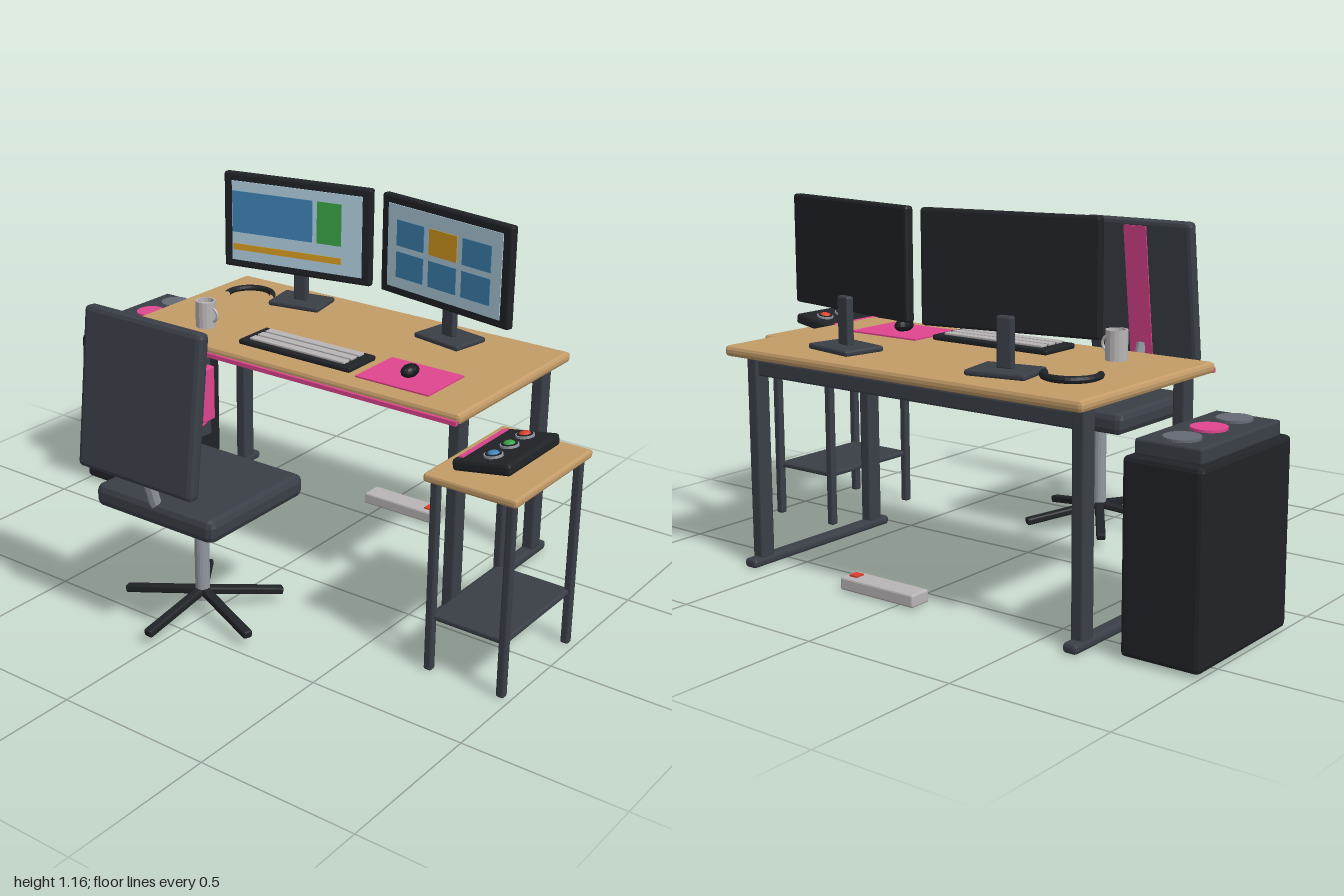
import * as THREE from 'three';
import { RoundedBoxGeometry } from 'three/addons/geometries/RoundedBoxGeometry.js';

const C = {
  wood: 0xc49c68, dark: 0x202327, mid: 0x3a3f47, black: 0x17191c, pink: 0xe0458f, metal: 0x9297a0,
  light: 0xb9b5b7, screen: 0xb4d3e3, blue: 0x3f86b8, green: 0x3aa648, orange: 0xdb9f22, red: 0xd8402c, disc: 0x666b73,
};
const mats = {};
const mat = (c, flat = true) => (mats[c + '' + flat] ??= new THREE.MeshStandardMaterial({ color: c, flatShading: flat }));

function add(parent, name, geo, color, pos = [0, 0, 0], rot = [0, 0, 0], flat = true) {
  const m = new THREE.Mesh(geo, mat(color, flat));
  m.name = name;
  m.position.set(...pos);
  m.rotation.set(...rot);
  parent.add(m);
  return m;
}
// box with chamfered edges
const box = (p, name, size, color, pos, rot, bevel = 0.006) =>
  add(p, name, new RoundedBoxGeometry(...size, 1, Math.min(bevel, Math.min(...size) * 0.4)), color, pos, rot);
// plain sharp-edged box
const slab = (p, name, size, color, pos, rot) => add(p, name, new THREE.BoxGeometry(...size), color, pos, rot);
const disc = (p, name, r, h, color, pos, n = 16) => add(p, name, new THREE.CylinderGeometry(r, r, h, n), color, pos);
// cylinder between two points
function rod(p, name, a, b, r, color, n = 8) {
  const A = new THREE.Vector3(...a), B = new THREE.Vector3(...b);
  const m = add(p, name, new THREE.CylinderGeometry(r, r, A.distanceTo(B), n), color);
  m.position.copy(A).lerp(B, 0.5);
  m.quaternion.setFromUnitVectors(new THREE.Vector3(0, 1, 0), B.sub(A).normalize());
}
function group(parent, name, pos = [0, 0, 0], rot = [0, 0, 0]) {
  const g = new THREE.Group();
  g.name = name;
  g.position.set(...pos);
  g.rotation.set(...rot);
  parent.add(g);
  return g;
}

function desk(root) {
  const g = group(root, 'desk');
  box(g, 'deskTop', [1.335, 0.034, 0.675], C.wood, [-0.017, 0.691, -0.341], undefined, 0.012);
  slab(g, 'edgeLight', [1.32, 0.014, 0.012], C.pink, [-0.017, 0.681, 0]);
  for (const x of [-0.63, 0.595]) {
    for (const z of [-0.093, -0.593]) box(g, 'deskLeg', [0.04, 0.66, 0.055], C.mid, [x, 0.345, z]);
    box(g, 'deskFoot', [0.046, 0.03, 0.625], C.mid, [x, 0.016, -0.343], undefined, 0.01);
  }
  box(g, 'rearBeam', [1.225, 0.05, 0.035], C.mid, [-0.017, 0.635, -0.593]);
}

function monitor(root, x, turn, drawScreen) {
  const g = group(root, 'monitor', [x, 0, -0.497], [0, turn, 0]);
  box(g, 'monitorFrame', [0.555, 0.335, 0.03], C.dark, [0, 0.992, 0], undefined, 0.008);
  slab(g, 'screen', [0.49, 0.28, 0.004], C.screen, [0, 0.992, 0.016]);
  box(g, 'monitorNeck', [0.05, 0.15, 0.026], C.mid, [0, 0.8, -0.028]);
  box(g, 'monitorBase', [0.19, 0.018, 0.14], C.mid, [0, 0.72, -0.03]);
  drawScreen((w, h, px, py, c) => slab(g, 'screenTile', [w, h, 0.004], c, [px, py, 0.0185]));
}

function deskItems(root) {
  monitor(root, -0.313, 0.185, tile => {
    tile(0.305, 0.145, -0.09, 1.025, C.blue);
    tile(0.09, 0.145, 0.125, 1.025, C.green);
    tile(0.41, 0.022, -0.035, 0.9, C.orange);
  });
  monitor(root, 0.28, -0.185, tile => {
    for (let i = 0; i < 6; i++)
      tile(0.12, 0.087, ((i % 3) - 1) * 0.143, i < 3 ? 1.04 : 0.933, i === 1 ? C.orange : C.blue);
  });

  const kb = group(root, 'keyboard', [-0.02, 0.708, -0.155]);
  box(kb, 'keyboardBase', [0.44, 0.018, 0.148], C.dark, [0, 0.009, 0]);
  for (const z of [-0.04, 0, 0.04]) box(kb, 'keyRow', [0.375, 0.008, 0.03], C.light, [0, 0.021, z], undefined, 0.002);

  slab(root, 'mousePad', [0.268, 0.005, 0.205], C.pink, [0.365, 0.711, -0.172]);
  const mouse = add(root, 'mouse', new THREE.SphereGeometry(1, 12, 8), C.black, [0.365, 0.73, -0.172]);
  mouse.scale.set(0.025, 0.021, 0.038);

  const mug = group(root, 'mug', [-0.438, 0.708, -0.153]);
  const wall = [[0, 0], [0.034, 0], [0.034, 0.09], [0.028, 0.09], [0.028, 0.075], [0, 0.075]].map(p => new THREE.Vector2(...p));
  add(mug, 'mugBody', new THREE.LatheGeometry(wall, 16), C.light);
  add(mug, 'mugHandle', new THREE.TorusGeometry(0.022, 0.005, 6, 10, Math.PI), C.light, [0.028, 0.045, 0], [0, 0, -Math.PI / 2]);

  // headband lying flat on the desk
  add(root, 'headband', new THREE.TorusGeometry(0.08, 0.011, 8, 18, Math.PI * 1.1), C.dark,
    [-0.5, 0.723, -0.465], [-Math.PI / 2, 0, 0.25]);
}

function chair(root) {
  const g = group(root, 'chair', [-0.018, 0, 0.378]);
  box(g, 'seat', [0.455, 0.073, 0.44], C.mid, [0, 0.423, 0.002], undefined, 0.022);
  rod(g, 'gasLift', [0, 0.05, 0], [0, 0.39, 0], 0.023, C.metal, 16);
  for (let i = 0; i < 5; i++) {
    const arm = group(g, 'chairFoot', [0, 0, 0], [0, (i * Math.PI * 2) / 5, 0]);
    box(arm, 'footArm', [0.03, 0.024, 0.26], C.dark, [0, 0.06, 0.13], [0.16, 0, 0]);
  }
  rod(g, 'backSupport', [0, 0.44, 0.2], [0, 0.6, 0.252], 0.018, C.metal, 8);
  const back = group(g, 'backrest', [0, 0.789, 0.249], [-0.12, 0, 0]);
  box(back, 'backCushion', [0.435, 0.488, 0.045], C.mid, [0, 0, 0], undefined, 0.015);
  slab(back, 'backStripe', [0.09, 0.45, 0.008], C.pink, [0, 0, -0.0225]);
}

function tower(root) {
  const g = group(root, 'computerTower');
  box(g, 'towerCase', [0.245, 0.553, 0.475], C.dark, [-0.878, 0.285, -0.363], undefined, 0.014);
  slab(g, 'sideWindow', [0.008, 0.4, 0.355], C.mid, [-0.756, 0.305, -0.363]);
  slab(g, 'frontStrip', [0.018, 0.445, 0.008], C.pink, [-0.945, 0.282, -0.125]);
  slab(g, 'powerLight', [0.026, 0.012, 0.008], C.blue, [-0.83, 0.535, -0.125]);
  box(g, 'topRadiator', [0.205, 0.045, 0.415], C.mid, [-0.878, 0.582, -0.363]);
  [-0.5, -0.365, -0.23].forEach((z, i) =>
    disc(g, 'topFan', 0.052, 0.012, i === 1 ? C.pink : C.disc, [-0.878, 0.606, z], 20));
  for (const y of [0.38, 0.233])
    add(g, 'fanRing', new THREE.TorusGeometry(0.064, 0.008, 8, 10), C.pink, [-0.745, y, -0.304], [0, Math.PI / 2, 0]);
  box(g, 'coolantTank', [0.034, 0.21, 0.066], C.pink, [-0.722, 0.29, -0.478]);
  rod(g, 'coolantPipe', [-0.73, 0.483, -0.27], [-0.73, 0.41, -0.48], 0.011, C.pink);
  rod(g, 'coolantPipe', [-0.73, 0.12, -0.245], [-0.73, 0.178, -0.48], 0.011, C.pink);
}

function sideTable(root) {
  const g = group(root, 'sideTable', [0.845, 0, 0.04]);
  box(g, 'tableTop', [0.3, 0.026, 0.44], C.wood, [0, 0.62, 0], undefined, 0.008);
  for (const x of [-0.122, 0.122])
    for (const z of [-0.19, 0.19]) box(g, 'tableLeg', [0.026, 0.61, 0.026], C.mid, [x, 0.305, z]);
  box(g, 'shelf', [0.25, 0.018, 0.385], C.mid, [0, 0.174, 0]);

  // control box with lit buttons
  const pad = group(g, 'controlBox', [0, 0.669, 0.02], [0, 0, 0.17]);
  box(pad, 'controlCase', [0.186, 0.036, 0.288], C.dark, [0, 0, 0], undefined, 0.01);
  slab(pad, 'controlStrip', [0.016, 0.006, 0.25], C.pink, [-0.072, 0.018, 0]);
  [C.red, C.green, C.blue].forEach((c, i) => {
    const z = (i - 1) * 0.087;
    disc(pad, 'buttonRing', 0.028, 0.01, C.metal, [0.012, 0.02, z]);
    disc(pad, 'buttonGap', 0.024, 0.012, C.dark, [0.012, 0.021, z]);
    const cap = add(pad, 'button', new THREE.SphereGeometry(0.018, 12, 8), c, [0.012, 0.026, z], undefined, false);
    cap.scale.y = 0.5;
  });
}

function powerStrip(root) {
  const g = group(root, 'powerStrip', [0.08, 0.024, -0.603]);
  box(g, 'stripBody', [0.285, 0.04, 0.075], C.light, [0, 0, 0]);
  slab(g, 'stripSwitch', [0.03, 0.008, 0.032], C.red, [0.11, 0.021, 0]);
}

export function createModel() {
  const root = new THREE.Group();
  root.name = 'computerWorkstation';
  [desk, deskItems, chair, tower, sideTable, powerStrip].forEach(build => build(root));
  return root;
}
